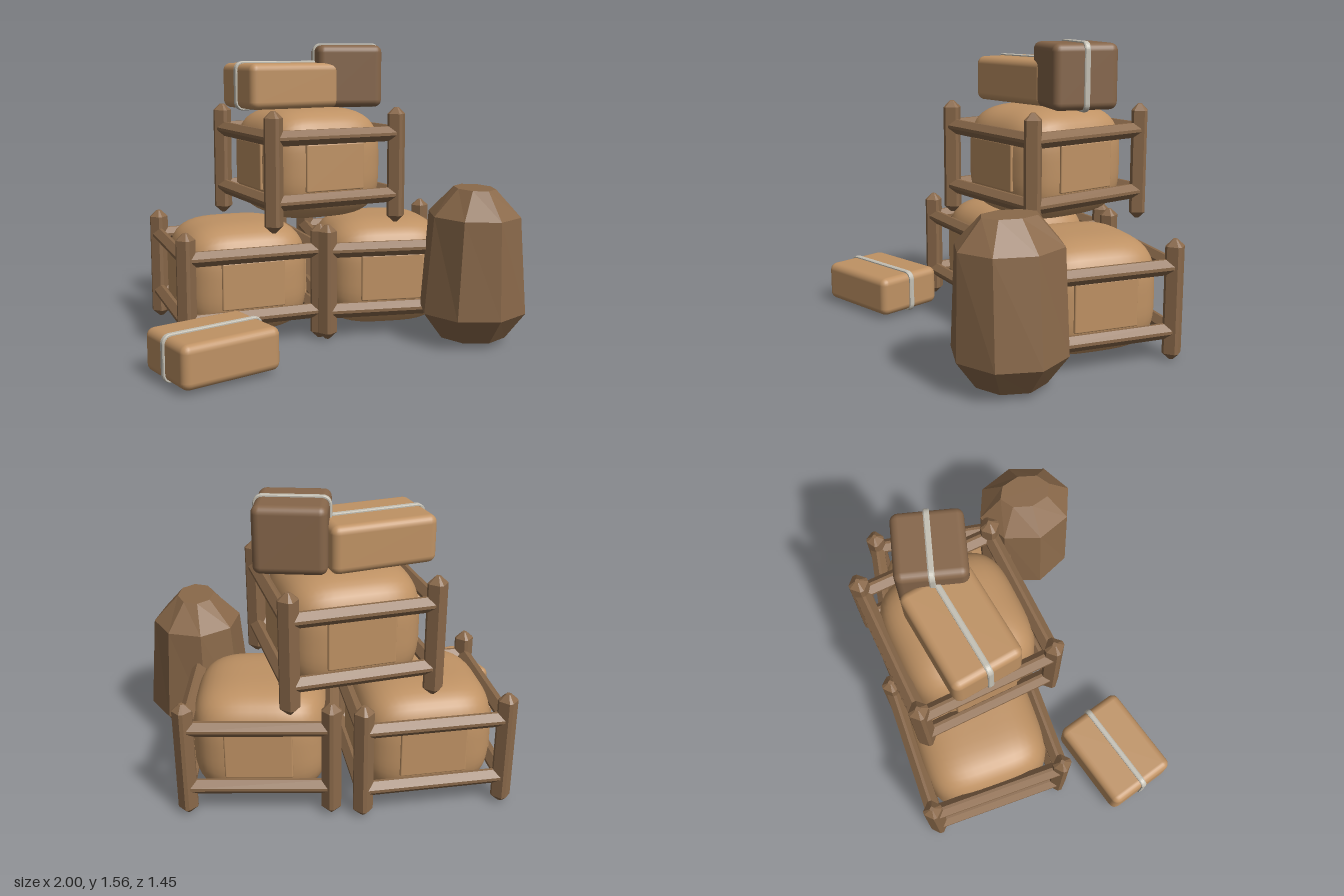
import * as THREE from 'three';
import { RoundedBoxGeometry } from 'three/addons/geometries/RoundedBoxGeometry.js';

const mat = (name, color, flatShading = false) => {
  const m = new THREE.MeshStandardMaterial({ color, flatShading });
  m.name = name;
  return m;
};

export function createModel() {
  const wood = mat('darkWood', 0x8a694a, true);
  const leather = mat('darkLeather', 0x86664a);
  const tan = mat('tanCloth', 0xbf9264);
  const strapMat = mat('paleStrap', 0xc4c0b4);
  const model = new THREE.Group();
  model.name = 'cargoPile';

  const add = (parent, name, geo, material, x = 0, y = 0, z = 0) => {
    const m = new THREE.Mesh(geo, material);
    m.name = name;
    m.position.set(x, y, z);
    parent.add(m);
    return m;
  };

  const lathe = (pts, phi = 0) =>
    new THREE.LatheGeometry(pts.map(([r, y]) => new THREE.Vector2(r, y)), 8, phi);

  // Diamond-section beam with chamfered corners and pointed ends, centred on the origin
  const beam = (len, r) => {
    const h = len / 2, tip = r * 0.7;
    const g = lathe([[0, -h], [r * 0.25, -h], [r, -h + tip], [r, h - tip], [r * 0.25, h], [0, h]], Math.PI / 8);
    const p = g.attributes.position, q = Math.PI / 2;
    for (let i = 0; i < p.count; i++) {
      const x = p.getX(i), z = p.getZ(i), rad = Math.hypot(x, z);
      const a = Math.atan2(z, x), near = Math.round(a / q) * q;
      const b = near + (a - near) * 0.5;
      p.setXYZ(i, rad * Math.cos(b), p.getY(i), rad * Math.sin(b));
    }
    g.computeVertexNormals();
    return g;
  };

  // Plump sack: a cube grid pulled onto a superellipsoid
  const sackGeometry = (hx, hy, hz, n) => {
    const g = new THREE.BoxGeometry(2, 2, 2, 14, 14, 14);
    const p = g.attributes.position, nor = g.attributes.normal;
    const v = new THREE.Vector3();
    const pw = (a, e) => Math.sign(a) * Math.abs(a) ** e;
    for (let i = 0; i < p.count; i++) {
      v.fromBufferAttribute(p, i);
      const d = (Math.abs(v.x) ** n + Math.abs(v.y) ** n + Math.abs(v.z) ** n) ** (1 / n);
      v.divideScalar(d);
      p.setXYZ(i, v.x * hx, v.y * hy, v.z * hz);
      v.set(pw(v.x, n - 1) / hx, pw(v.y, n - 1) / hy, pw(v.z, n - 1) / hz).normalize();
      nor.setXYZ(i, v.x, v.y, v.z);
    }
    return g;
  };

  // Open crates, each holding a sack
  const S = 0.36;
  const postGeo = beam(0.62, 0.05);
  const railGeo = beam(0.76, 0.04);
  const sackGeo = sackGeometry(0.35, 0.3, 0.35, 3.5);
  const panelGeo = new RoundedBoxGeometry(0.34, 0.25, 0.03, 2, 0.008);
  const crate = (name, x, y, z, turn) => {
    const g = new THREE.Group();
    g.name = name;
    g.position.set(x, y, z);
    g.rotation.y = turn;
    for (const sx of [-1, 1])
      for (const sz of [-1, 1]) add(g, 'post', postGeo, wood, sx * S, 0.31, sz * S);
    for (const ry of [0.15, 0.48])
      for (const s of [-1, 1]) {
        add(g, 'rail', railGeo, wood, 0, ry, s * S).rotation.z = Math.PI / 2;
        add(g, 'sideRail', railGeo, wood, s * S, ry, 0).rotation.x = Math.PI / 2;
      }
    add(g, 'sack', sackGeo, tan, 0, 0.316, 0);
    // Flat patches on the four sides of the sack
    for (let i = 0; i < 4; i++) {
      const a = i * Math.PI / 2;
      add(g, 'sackPanel', panelGeo, tan, Math.sin(a) * 0.338, 0.316, Math.cos(a) * 0.338).rotation.y = a;
    }
    model.add(g);
  };
  crate('leftCrate', -0.435, 0, -0.295, 0.07);
  crate('rightCrate', 0.375, 0, -0.245, -0.1);
  crate('topCrate', -0.035, 0.607, -0.27, 0.18);

  // Rounded rectangle outline for straps
  const outline = (P, w, h, r) => {
    const s = new P();
    const c = [[1, 1], [-1, 1], [-1, -1], [1, -1]];
    c.forEach(([sx, sy], i) =>
      s.absarc(sx * (w / 2 - r), sy * (h / 2 - r), r, i * Math.PI / 2, (i + 1) * Math.PI / 2, false));
    s.closePath();
    return s;
  };

  // Soft parcels with one strap running lengthwise
  const parcel = (name, w, h, d, x, y, z, turn, material) => {
    const g = new THREE.Group();
    g.name = name;
    g.position.set(x, y + h / 2, z);
    g.rotation.y = turn;
    add(g, 'parcelBody', new RoundedBoxGeometry(w, h, d, 3, 0.04), material);
    const ring = outline(THREE.Shape, w + 0.02, h + 0.02, 0.045);
    ring.holes.push(outline(THREE.Path, w - 0.01, h - 0.01, 0.03));
    const strap = new THREE.ExtrudeGeometry(ring, {
      depth: 0.018, bevelEnabled: true, bevelSize: 0.004, bevelThickness: 0.006, bevelSegments: 1,
      bevelOffset: -0.004, curveSegments: 5,
    });
    add(g, 'strap', strap, strapMat, 0, 0, -0.009);
    model.add(g);
  };
  parcel('longParcel', 0.54, 0.24, 0.37, -0.18, 1.22, -0.27, 0.26, tan);
  parcel('tallParcel', 0.355, 0.335, 0.35, 0.205, 1.22, -0.315, -0.17, leather);
  parcel('groundParcel', 0.525, 0.215, 0.395, -0.698, 0.02, 0.45, 0.35, tan);

  // Faceted upright bundle, its narrow top stretched front to back
  const rings = [[0.18, 0.03, 1.0], [0.285, 0.17, 0.99], [0.237, 0.68, 1.14], [0.1, 0.82, 1.45]];
  const bundleGeo = lathe([[0, 0.03], ...rings, [0, 0.82]], 0.1);
  const p = bundleGeo.attributes.position;
  for (let i = 0; i < p.count; i++) {
    const ring = rings.find(r => Math.abs(r[1] - p.getY(i)) < 0.001);
    p.setZ(i, p.getZ(i) * ring[2]);
  }
  bundleGeo.computeVertexNormals();
  add(model, 'uprightBundle', bundleGeo, wood, 0.712, 0, 0.31);

  return model;
}
